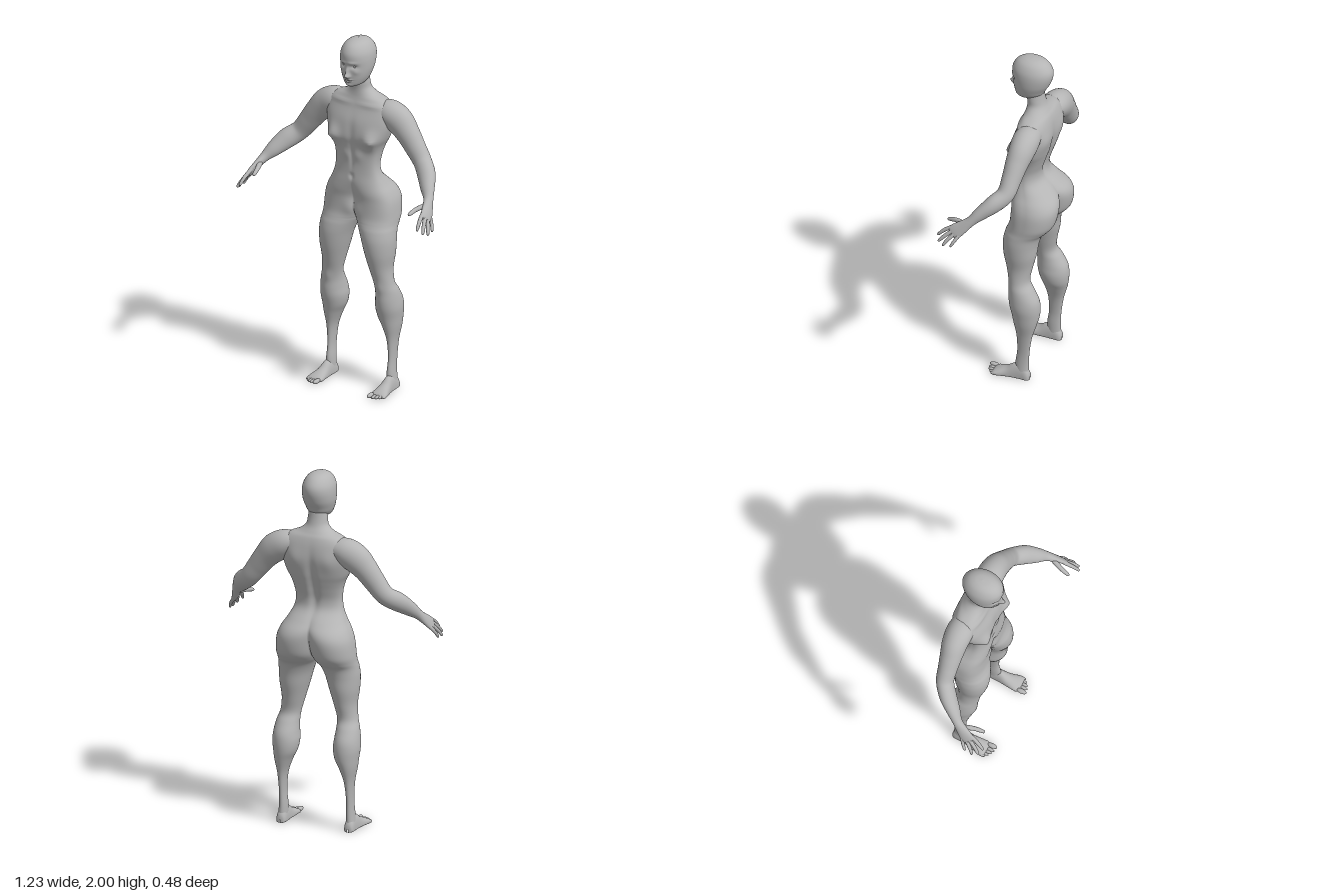
import * as THREE from 'three';
import { mergeGeometries, mergeVertices } from 'three/addons/utils/BufferGeometryUtils.js';

const { smoothstep, clamp } = THREE.MathUtils;

// Smooth interpolation through table rows, t in 0..1
function sample(rows, t) {
  const f = t * (rows.length - 1), i = Math.min(Math.floor(f), rows.length - 2), k = f - i;
  const at = (n) => rows[clamp(n, 0, rows.length - 1)];
  const [a, b, c, d] = [at(i - 1), at(i), at(i + 1), at(i + 2)];
  return b.map((p, n) => p + 0.5 * k * (c[n] - a[n] + k * (2 * a[n] - 5 * p + 4 * c[n] - d[n]
    + k * (3 * (p - c[n]) + d[n] - a[n]))));
}

// Skin a grid of points: u runs along the part, v runs around it
function skin(nu, nv, point) {
  const pos = [], idx = [];
  for (let i = 0; i <= nu; i++) for (let j = 0; j <= nv; j++) pos.push(...point(i / nu, j / nv));
  for (let i = 0; i < nu; i++) for (let j = 0; j < nv; j++) {
    const a = i * (nv + 1) + j, c = a + nv + 1;
    idx.push(a, c, a + 1, a + 1, c, c + 1);
  }
  const g = new THREE.BufferGeometry();
  g.setAttribute('position', new THREE.Float32BufferAttribute(pos, 3));
  g.setIndex(idx);
  return g;
}

function smooth(g) {
  const m = mergeVertices(g, 1e-5);
  m.computeVertexNormals();
  return m;
}

function mirror(g) {
  const m = g.clone().scale(-1, 1, 1), ix = m.index.array;
  for (let i = 0; i < ix.length; i += 3) [ix[i], ix[i + 1]] = [ix[i + 1], ix[i]];
  return m;
}

// Soft swellings and hollows: [x, y, spreadX, spreadY, height]
const relief = (bumps, x, y) => bumps.reduce((sum, [bx, by, sx, sy, h]) =>
  sum + h * Math.exp(-(((Math.abs(x) - bx) / sx) ** 2) - ((y - by) / sy) ** 2), 0);

// Limb along a path; rows are [x, y, z, thickness, width]
function limb(rows, nu, nv) {
  const P = (t) => new THREE.Vector3(...sample(rows, clamp(t, 0, 1)));
  return skin(nu, nv, (t, v) => {
    const r = sample(rows, t), a = v * Math.PI * 2;
    const dir = P(t + 0.02).sub(P(t - 0.02)).normalize();
    const u = new THREE.Vector3(0, 0, 1).addScaledVector(dir, -dir.z).normalize();
    const w = u.clone().cross(dir);
    return new THREE.Vector3(r[0], r[1], r[2])
      .addScaledVector(u, r[4] * Math.cos(a)).addScaledVector(w, r[3] * Math.sin(a)).toArray();
  });
}

// Half body sections from ankle to neck: [y, inner x, outer x, back z, front z]
const legRows = [
  [0.03, 0.172, 0.224, -0.122, -0.045], [0.1, 0.173, 0.217, -0.122, -0.045],
  [0.18, 0.177, 0.214, -0.126, -0.055], [0.28, 0.167, 0.221, -0.14, -0.05],
  [0.36, 0.14, 0.236, -0.162, -0.032], [0.415, 0.114, 0.243, -0.174, -0.018],
  [0.47, 0.104, 0.249, -0.177, -0.004], [0.52, 0.108, 0.246, -0.168, 0.001],
  [0.575, 0.112, 0.237, -0.138, 0], [0.627, 0.108, 0.222, -0.11, 0.006],
  [0.706, 0.087, 0.215, -0.12, 0.026], [0.79, 0.062, 0.226, -0.138, 0.045],
  [0.865, 0.04, 0.23, -0.147, 0.05], [0.92, 0.018, 0.226, -0.164, 0.042],
];
const torsoRows = [
  [0.955, 0, 0.222, -0.196, 0.03], [1.0, -0.015, 0.22, -0.226, 0.018],
  [1.077, -0.03, 0.212, -0.24, 0.014], [1.13, -0.05, 0.193, -0.228, 0.018],
  [1.18, -0.085, 0.163, -0.185, 0.018], [1.235, -0.136, 0.138, -0.137, 0.015],
  [1.29, -0.13, 0.13, -0.127, 0.013], [1.35, -0.137, 0.137, -0.142, 0.015],
  [1.4, -0.152, 0.152, -0.158, 0.022], [1.45, -0.176, 0.176, -0.172, 0.03],
  [1.53, -0.198, 0.198, -0.183, 0.02], [1.6, -0.2, 0.2, -0.178, -0.005],
  [1.65, -0.16, 0.16, -0.165, -0.02], [1.678, -0.1, 0.1, -0.148, -0.026],
  [1.71, -0.063, 0.063, -0.13, -0.028], [1.75, -0.055, 0.055, -0.12, -0.024],
  [1.8, -0.05, 0.05, -0.115, -0.02],
];
const frontRelief = [
  [0.12, 1.44, 0.045, 0.05, 0.028], [0.135, 1.437, 0.015, 0.014, 0.01],
  [0, 1.47, 0.025, 0.08, -0.006], [0, 1.215, 0.012, 0.014, -0.01], [0, 1.33, 0.012, 0.06, -0.006],
  [0.04, 1.34, 0.03, 0.03, 0.006], [0, 1.02, 0.05, 0.05, 0.016],
  [0.165, 0.6, 0.03, 0.035, 0.006], [0.1, 1.63, 0.08, 0.012, 0.006],
];
const backRelief = [[0, 1.38, 0.025, 0.15, -0.018], [0.1, 1.53, 0.05, 0.06, 0.01]];

function halfBody() {
  const rows = [...legRows, ...torsoRows];
  return skin(150, 64, (t, v) => {
    const [y, xin, xout, zb, zf] = sample(rows, t);
    const cx = (xin + xout) / 2, rx = (xout - xin) / 2, cz = (zb + zf) / 2, rz = (zf - zb) / 2;
    // the section stops at the middle plane wherever it reaches it
    const end = Math.acos(clamp(-cx / rx, -1, 1)), a = (1 - 2 * v) * -end;
    const neck = 1 - smoothstep(y, 1.62, 1.7), s = Math.sin(a), front = s > 0;
    const e = front ? 1 - 0.4 * smoothstep(y, 0.85, 1.05) * neck : 1 - 0.25 * smoothstep(y, 1.2, 1.45) * neck;
    const x = Math.max(0, cx + rx * Math.cos(a));
    const bump = relief(front ? frontRelief : backRelief, x, y) * Math.min(1, 2 * Math.abs(s));
    return [x, y, cz + Math.sign(s) * (rz * Math.abs(s) ** e + bump)];
  });
}

// Head sections: [y, half width, back z, front z]
const headRows = [
  [1.742, 0.002, 0.0, 0.004], [1.744, 0.024, -0.03, 0.032], [1.757, 0.05, -0.08, 0.043],
  [1.78, 0.067, -0.113, 0.048], [1.81, 0.079, -0.13, 0.052], [1.85, 0.088, -0.152, 0.055],
  [1.9, 0.09, -0.167, 0.062], [1.94, 0.083, -0.163, 0.058], [1.975, 0.063, -0.137, 0.034],
  [1.994, 0.035, -0.1, -0.005], [2.0, 0.001, -0.056, -0.054],
];
const faceRelief = [
  [0, 1.812, 0.013, 0.013, 0.024], [0, 1.835, 0.01, 0.022, 0.014], [0.011, 1.808, 0.007, 0.007, 0.007],
  [0.034, 1.866, 0.02, 0.012, -0.012], [0.03, 1.887, 0.025, 0.008, 0.005],
  [0, 1.789, 0.02, 0.005, 0.009], [0, 1.776, 0.017, 0.005, 0.008], [0, 1.7825, 0.02, 0.0025, -0.006],
  [0, 1.756, 0.02, 0.01, 0.006], [0.05, 1.835, 0.016, 0.016, 0.006],
];

function head() {
  return skin(110, 112, (t, v) => {
    const [y, w, zb, zf] = sample(headRows, t), a = v * Math.PI * 2, s = Math.sin(a);
    const x = w * Math.cos(a), bump = s > 0 ? relief(faceRelief, x, y) * s : 0;
    return [x, y, (zb + zf) / 2 + s * (zf - zb) / 2 + bump];
  });
}

// Arm from inside the shoulder to the knuckles
const armRows = [
  [0.09, 1.6, -0.1, 0.045, 0.055], [0.17, 1.585, -0.1, 0.074, 0.073], [0.235, 1.55, -0.1, 0.08, 0.07],
  [0.29, 1.495, -0.095, 0.068, 0.061], [0.34, 1.43, -0.09, 0.06, 0.053], [0.395, 1.36, -0.08, 0.053, 0.048],
  [0.45, 1.315, -0.035, 0.054, 0.046], [0.495, 1.265, 0.02, 0.042, 0.036], [0.527, 1.225, 0.06, 0.027, 0.027],
  [0.548, 1.19, 0.098, 0.02, 0.034], [0.565, 1.158, 0.135, 0.015, 0.041],
  [0.572, 1.144, 0.152, 0.01, 0.034], [0.574, 1.14, 0.156, 0.001, 0.003],
];

// Digits: base, middle joint, tip and radius
const digits = [
  [[0.536, 1.2, 0.09], [0.512, 1.19, 0.155], [0.499, 1.172, 0.212], 0.014],
  [[0.552, 1.178, 0.15], [0.563, 1.145, 0.2], [0.572, 1.106, 0.238], 0.0115],
  [[0.562, 1.165, 0.14], [0.584, 1.122, 0.19], [0.599, 1.085, 0.222], 0.0115],
  [[0.569, 1.152, 0.13], [0.595, 1.11, 0.168], [0.612, 1.073, 0.19], 0.011],
  [[0.572, 1.145, 0.11], [0.596, 1.11, 0.13], [0.609, 1.078, 0.146], 0.01],
];

function digit([base, mid, tip, r]) {
  const near = tip.map((c, i) => c + (mid[i] - c) * 0.15);
  const rows = [[...base, r, r], [...mid, r * 0.9, r * 0.9], [...near, r * 0.65, r * 0.65], [...tip, 0.0005, 0.0005]];
  return limb(rows, 18, 14);
}

// Foot sections from heel to ball: [z, inner x, outer x, height]
const footRows = [
  [-0.131, 0.195, 0.2, 0.02], [-0.126, 0.178, 0.218, 0.045], [-0.11, 0.17, 0.225, 0.07],
  [-0.08, 0.169, 0.226, 0.09], [-0.04, 0.168, 0.23, 0.084], [0, 0.164, 0.238, 0.056],
  [0.04, 0.16, 0.25, 0.038], [0.065, 0.16, 0.252, 0.026], [0.082, 0.175, 0.235, 0.013],
];

function foot() {
  const sole = skin(48, 32, (t, v) => {
    const [z, x0, x1, h] = sample(footRows, t), a = v * Math.PI * 2, s = -Math.sin(a);
    const y = 0.012 + (s > 0 ? (h - 0.012) * s : -0.012 * Math.abs(s) ** 0.4);
    return [(x0 + x1) / 2 + (x1 - x0) / 2 * Math.cos(a), y, z];
  });
  const toes = [[0.174, 0.09, 0.0135, 0.03], [0.197, 0.09, 0.01, 0.025], [0.214, 0.084, 0.0095, 0.024],
    [0.23, 0.074, 0.009, 0.022], [0.244, 0.062, 0.009, 0.02]];
  const balls = toes.map(([x, z, r, len]) => {
    const g = new THREE.SphereGeometry(1, 16, 12).scale(r, r * 0.95, len).translate(x, r, z);
    g.deleteAttribute('uv').deleteAttribute('normal');
    return g;
  });
  return mergeGeometries([sole, ...balls]);
}

export function createModel() {
  const model = new THREE.Group();
  const grey = new THREE.MeshStandardMaterial({ color: 0xb5b5b5 });
  grey.name = 'plain grey';
  const add = (name, g) => {
    const mesh = new THREE.Mesh(smooth(g), grey);
    mesh.name = name;
    model.add(mesh);
  };
  const pair = (name, g) => {
    add('left' + name, g);
    add('right' + name, mirror(g));
  };

  const half = halfBody();
  add('torsoAndLegs', mergeGeometries([half, mirror(half)]));
  add('head', head());
  pair('Arm', limb(armRows, 84, 40));
  pair('Fingers', mergeGeometries(digits.map(digit)));
  pair('Foot', foot());
  const eye = new THREE.SphereGeometry(0.012, 16, 12).translate(0.034, 1.866, 0.029);
  eye.deleteAttribute('uv').deleteAttribute('normal');
  pair('Eye', eye);
  return model;
}
